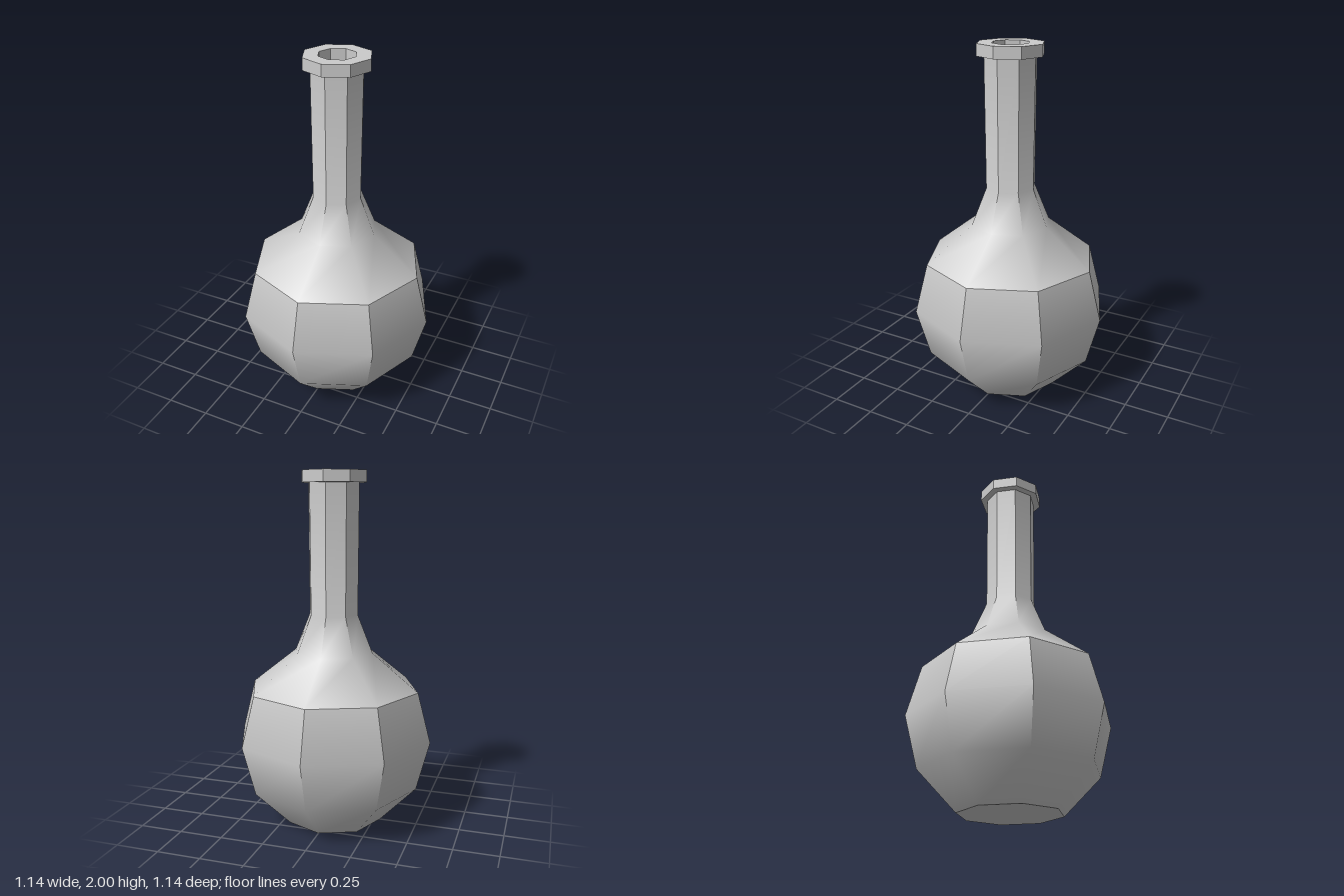
import * as THREE from 'three';

const SIDES = 8;
const APOTHEM = Math.cos(Math.PI / SIDES);

// Eight-sided surface of revolution from points [radius, y, round].
// Normals blend along the profile; a round ring also blends around the axis,
// while any other ring keeps its upright edges sharp.
function facetedLathe(points) {
  const bandNormals = points.slice(1).map(([r, y], i) =>
    new THREE.Vector2(y - points[i][1], (points[i][0] - r) * APOTHEM).normalize());
  const ringNormals = points.map((_, i) => {
    const below = bandNormals[Math.max(i - 1, 0)];
    const above = bandNormals[Math.min(i, bandNormals.length - 1)];
    return below.clone().add(above).normalize();
  });
  const positions = [], normals = [];
  const step = (Math.PI * 2) / SIDES;

  function corner(ring, side, sector) {
    const [r, y, round] = points[ring];
    const n = ringNormals[ring];
    const a = side * step;
    const facing = round ? a : (sector + 0.5) * step;
    positions.push(r * Math.sin(a), y, r * Math.cos(a));
    normals.push(n.x * Math.sin(facing), n.y, n.x * Math.cos(facing));
  }

  for (let i = 0; i < points.length - 1; i++) {
    for (let s = 0; s < SIDES; s++) {
      const quad = [[i, s], [i, s + 1], [i + 1, s + 1], [i, s], [i + 1, s + 1], [i + 1, s]];
      for (const [ring, side] of quad) {
        // skip the collapsed triangle at the axis
        corner(ring, side, s);
      }
    }
  }
  const geometry = new THREE.BufferGeometry();
  geometry.setAttribute('position', new THREE.Float32BufferAttribute(positions, 3));
  geometry.setAttribute('normal', new THREE.Float32BufferAttribute(normals, 3));
  return geometry;
}

export function createModel() {
  const flask = new THREE.Group();
  flask.name = 'flask';
  const glass = new THREE.MeshStandardMaterial({ color: 0xcccccc });

  const parts = {
    base: [[0, 0], [0.285, 0]],
    bulb: [[0.285, 0, true], [0.495, 0.215, true], [0.57, 0.5], [0.495, 0.785]],
    shoulderAndNeck: [[0.495, 0.785, true], [0.23, 0.995, true], [0.142, 1.21], [0.147, 1.935]],
    rimUnderside: [[0.14, 1.935], [0.187, 1.935]],
    rimSide: [[0.187, 1.935], [0.187, 2]],
    rimTop: [[0.187, 2], [0.104, 2]],
    neckBore: [[0.104, 2], [0.104, 1.2]],
    boreFloor: [[0.104, 1.2], [0, 1.2]],
  };
  for (const [name, points] of Object.entries(parts)) {
    const mesh = new THREE.Mesh(facetedLathe(points), glass);
    mesh.name = name;
    flask.add(mesh);
  }
  return flask;
}
